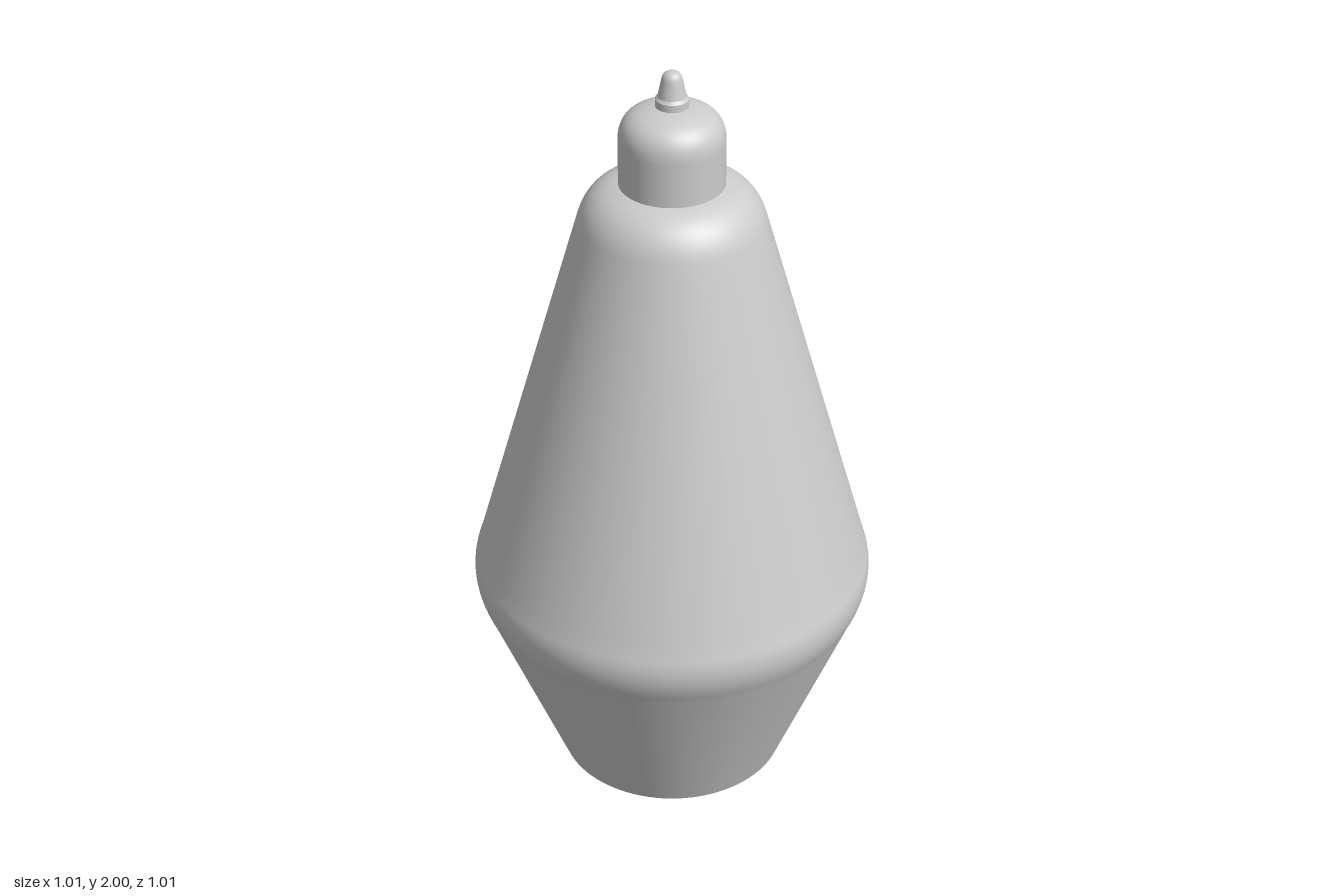
import * as THREE from 'three';

const SIDES = 96;

// Profile built from straight runs and rounded corners: each entry is [r, y] for a
// straight run, or [ctrlR, ctrlY, r, y] for a curved corner.
function profile(start, steps) {
  const path = new THREE.Path();
  path.moveTo(...start);
  for (const s of steps) s.length === 2 ? path.lineTo(...s) : path.quadraticCurveTo(...s);
  const pts = [];
  for (const c of path.curves) {
    // extra points close to the ends of straight runs keep their shading straight
    const ts = c.isLineCurve ? [0, 0.03, 0.97, 1] : Array.from({ length: 11 }, (_, i) => i / 10);
    for (const t of ts) {
      const p = c.getPoint(t);
      if (!pts.length || p.distanceTo(pts[pts.length - 1]) > 1e-5) pts.push(p);
    }
  }
  return pts;
}

export function createModel() {
  const group = new THREE.Group();
  const grey = new THREE.MeshStandardMaterial({ color: 0xcccccc });
  grey.name = 'light grey';

  function turn(name, start, steps) {
    const mesh = new THREE.Mesh(new THREE.LatheGeometry(profile(start, steps), SIDES), grey);
    mesh.name = name;
    group.add(mesh);
  }

  // Shallow domed underside with an open hole in the middle
  turn('base', [0.04, 0], [[0.19, 0.004, 0.27, 0.03], [0.283, 0.035, 0.293, 0.045]]);
  // Tapered body with rounded waist and shoulder
  turn('body', [0.293, 0.045], [
    [0.486, 0.53],
    [0.523, 0.605, 0.496, 0.67],
    [0.228, 1.615],
    [0.205, 1.695, 0.128, 1.71],
  ]);
  // Neck with a domed top
  turn('neck', [0.128, 1.71], [[0.128, 1.825], [0.128, 1.885, 0.07, 1.901], [0.05, 1.907, 0.028, 1.908]]);
  // Small collar and tapered nozzle
  turn('collar', [0.028, 1.906], [[0.04, 1.912], [0.04, 1.93], [0.033, 1.938]]);
  turn('nozzle', [0.034, 1.937], [[0.025, 1.98], [0.021, 2, 0, 2]]);
  return group;
}
